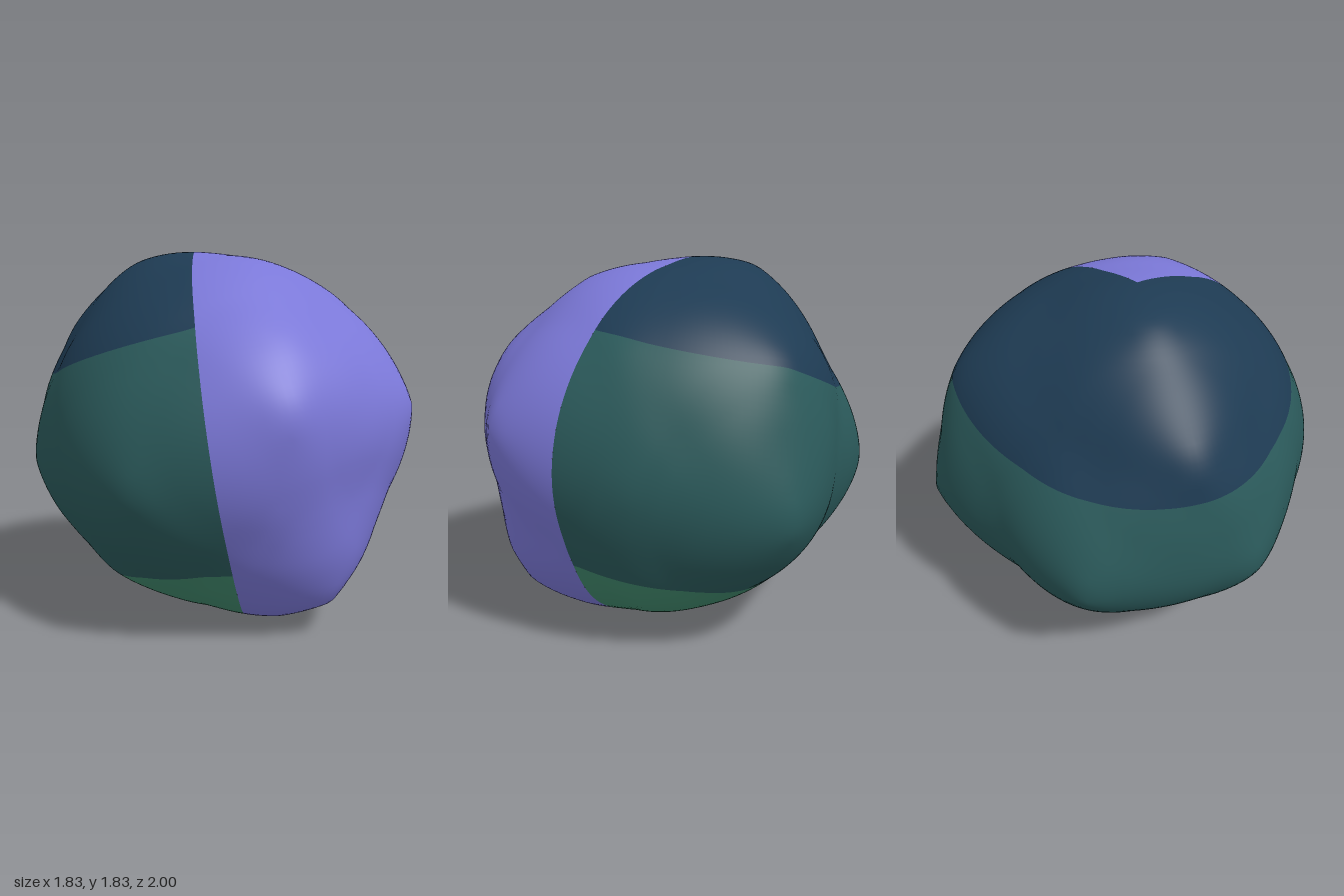
import * as THREE from 'three';

const BASE = 0.892;
const CENTRE = new THREE.Vector3(0, 0.91, 0);
const { degToRad, lerp } = THREE.MathUtils;

// Tips of the soft lumps and hollows, measured from the centre of the ball,
// with an optional angular width
const lumps = [
  // corners around the middle
  [-0.30, -0.17, -1.00], [0.78, -0.17, -0.66], [-0.90, -0.18, -0.47],
  [-0.69, -0.15, 0.68], [0.67, 0.19, 0.73], [-0.09, 0.21, 0.995],
  // low front, upper back and top lumps
  [0.26, -0.72, 0.70], [0.61, 0.51, -0.59], [-0.65, 0.43, -0.65, 0.5], [-0.33, 0.865, -0.40],
  // slight swellings
  [0.10, -0.90, 0.20], [0.14, -0.80, 0.43, 0.4], [0.30, -0.49, 0.72, 0.45],
  [-0.10, -0.28, 0.87, 0.5], [-0.04, 0.46, 0.80, 0.5], [0.00, 0.82, 0.41, 0.5],
  [0.71, 0.57, 0.12, 0.6], [0.91, 0.00, 0.06, 0.4],
  [0.62, -0.68, 0.05, 0.4], [-0.59, -0.70, 0.00, 0.4],
  // hollows
  [0.24, -0.10, -0.84], [0.67, 0.13, -0.54, 0.35], [-0.85, -0.06, -0.15, 0.4],
].map(([x, y, z, width = 0.65]) => {
  const tip = new THREE.Vector3(x, y, z);
  const height = tip.length() - BASE;
  return { dir: tip.normalize(), height, width };
});

// Point of the lumpy surface in a given direction
function surface(dir) {
  const d = dir.clone().normalize();
  let r = BASE;
  for (const l of lumps) {
    const t = 1 - d.angleTo(l.dir) / l.width;
    if (t > 0) r += l.height * Math.pow(t, 1.3);
  }
  return d.multiplyScalar(r);
}

// Normal from small steps along the surface, so neighbouring patches shade seamlessly
function surfaceNormal(dir) {
  const helper = Math.abs(dir.y) < 0.9 ? new THREE.Vector3(0, 1, 0) : new THREE.Vector3(1, 0, 0);
  const u = new THREE.Vector3().crossVectors(helper, dir).normalize();
  const v = new THREE.Vector3().crossVectors(dir, u);
  const step = (t) => surface(dir.clone().addScaledVector(t, 0.1))
    .sub(surface(dir.clone().addScaledVector(t, -0.1)));
  return step(u).cross(step(v)).normalize();
}

// The colour bands follow a slightly tilted axis
const tilt = new THREE.Quaternion().setFromUnitVectors(
  new THREE.Vector3(0, 1, 0),
  new THREE.Vector3(-0.1, 0.91, -0.11).normalize()
);

// Band borders: polar angle in degrees for each azimuth (0 = front, 90 = left)
const topPole = () => 0;
const bottomPole = () => 180;
const upperBorder = (az) => 59 + 6 * Math.cos(degToRad(az - 205));
const lowerBorder = (az) =>
  132 - 3 * Math.cos(degToRad(az - 40)) - 10 * Math.exp(-(((az - 200) / 24) ** 2));

// Patch between two azimuths and two borders
function patch(name, material, az0, az1, upper, lower, rows) {
  const start = upper(az0), end = lower(az0);
  const geo = new THREE.SphereGeometry(
    1, Math.round((az1 - az0) / 2), rows,
    0, degToRad(az1 - az0), degToRad(start), end === 180 ? Math.PI - degToRad(start) : degToRad(end - start)
  );
  const { position, normal, uv } = geo.attributes;
  const dir = new THREE.Vector3();
  for (let i = 0; i < position.count; i++) {
    const az = lerp(az0, az1, uv.getX(i));
    const polar = lerp(lower(az), upper(az), uv.getY(i));
    dir.setFromSphericalCoords(1, degToRad(polar), degToRad(az)).applyQuaternion(tilt);
    const p = surface(dir).add(CENTRE);
    const n = surfaceNormal(dir);
    position.setXYZ(i, p.x, p.y, p.z);
    normal.setXYZ(i, n.x, n.y, n.z);
  }
  const mesh = new THREE.Mesh(geo, material);
  mesh.name = name;
  return mesh;
}

function paint(name, color) {
  const m = new THREE.MeshStandardMaterial({ color });
  m.name = name;
  return m;
}

export function createModel() {
  const violet = paint('violet', 0x7b78d8);
  const navy = paint('navy', 0x1e3b53);
  const teal = paint('teal', 0x2b5a5b);
  const green = paint('green', 0x40876b);

  const model = new THREE.Group();
  model.name = 'lumpyBall';
  const WEDGE_START = -24.5, WEDGE_END = 65, ROUND = WEDGE_START + 360;
  model.add(
    patch('frontWedge', violet, WEDGE_START, WEDGE_END, topPole, bottomPole, 90),
    patch('topCap', navy, WEDGE_END, ROUND, topPole, upperBorder, 30),
    patch('middleBand', teal, WEDGE_END, ROUND, upperBorder, lowerBorder, 37),
    patch('bottomCap', green, WEDGE_END, ROUND, lowerBorder, bottomPole, 25)
  );
  return model;
}
